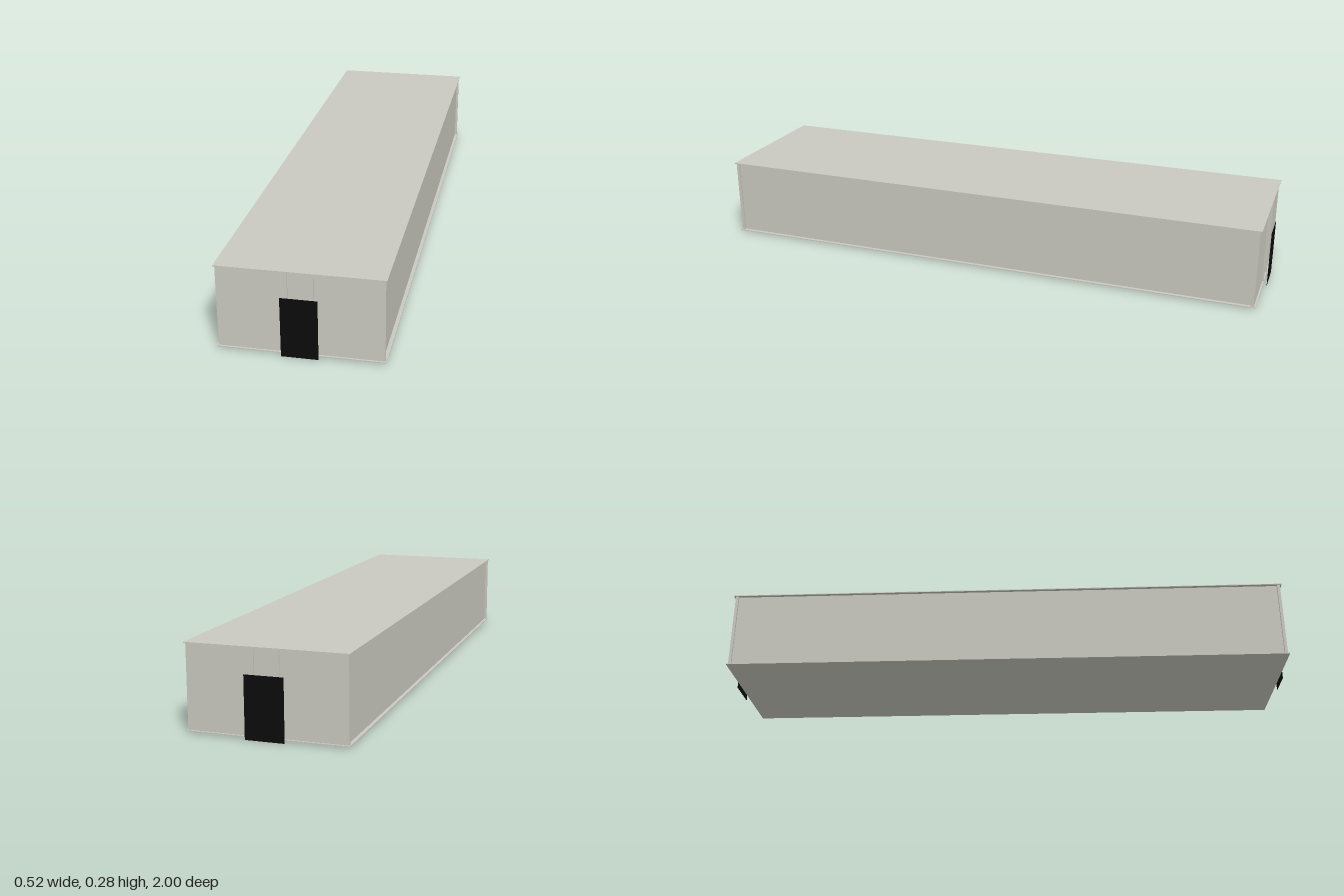
import * as THREE from 'three';

export function createModel() {
  const group = new THREE.Group();
  const wallMat = new THREE.MeshStandardMaterial({ color: 0xc9c9c0 });
  wallMat.name = 'pale stone grey';
  const doorMat = new THREE.MeshStandardMaterial({ color: 0x0b0b0b, side: THREE.DoubleSide });
  doorMat.name = 'black';

  function box(name, w, h, d, x, y, z) {
    const mesh = new THREE.Mesh(new THREE.BoxGeometry(w, h, d), wallMat);
    mesh.name = name;
    mesh.position.set(x, y, z);
    group.add(mesh);
  }

  // Floor and roof plates overhang the walls slightly
  const bottom = 0.005, top = 0.28, plate = 0.003;
  const wallHeight = top - bottom - 2 * plate, midY = (top + bottom) / 2;
  box('floor', 0.52, plate, 1.976, 0, bottom + plate / 2, 0);
  box('roof', 0.52, plate, 1.976, 0, top - plate / 2, 0);

  for (const s of [-1, 1]) {
    // Long side walls, set in from the plate edges
    box('sideWall', 0.01, wallHeight, 1.95, s * 0.243, midY, 0);

    // End walls stand a little proud of the side walls
    box('endWall', 0.512, wallHeight, 0.01, 0, midY, s * 0.977);

    // Slim door posts running up to the roof
    for (const side of [-1, 1]) {
      box('doorPost', 0.007, wallHeight, 0.006, side * 0.04, midY, s * 0.984);
    }
  }

  // Thin door sheets in front of both ends, the rear one slightly wider
  function door(name, width, y0, y1, z) {
    const mesh = new THREE.Mesh(new THREE.PlaneGeometry(width, y1 - y0), doorMat);
    mesh.name = name;
    mesh.position.set(0, (y0 + y1) / 2, z);
    if (z < 0) mesh.rotation.y = Math.PI;
    group.add(mesh);
  }
  door('frontDoor', 0.115, 0.001, 0.199, 1);
  door('backDoor', 0.126, 0, 0.199, -1);

  return group;
}
